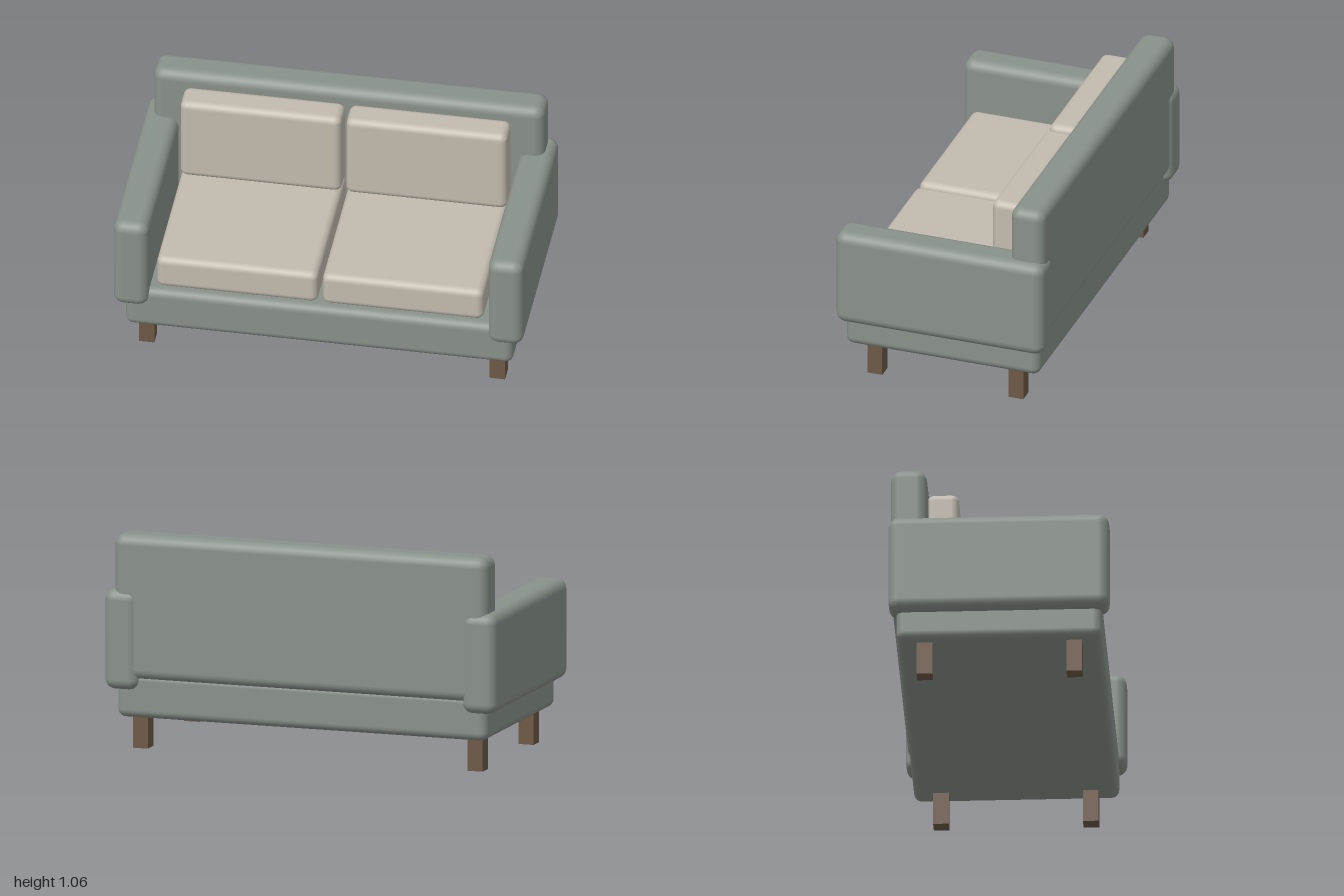
import * as THREE from 'three';
import { RoundedBoxGeometry } from 'three/addons/geometries/RoundedBoxGeometry.js';

const fabric = new THREE.MeshStandardMaterial({ color: 0x89928a });
const cushion = new THREE.MeshStandardMaterial({ color: 0xc2bbae });
const wood = new THREE.MeshStandardMaterial({ color: 0x6e5a46 });

// Softly rounded block given by its [min, max] extents on each axis
function block(name, [x0, x1], [y0, y1], [z0, z1], radius, material) {
  const size = [x1 - x0, y1 - y0, z1 - z0];
  const geometry = radius
    ? new RoundedBoxGeometry(...size, 3, radius)
    : new THREE.BoxGeometry(...size);
  const mesh = new THREE.Mesh(geometry, material);
  mesh.name = name;
  mesh.position.set((x0 + x1) / 2, (y0 + y1) / 2, (z0 + z1) / 2);
  return mesh;
}

export function createModel() {
  const sofa = new THREE.Group();
  sofa.name = 'sofa';

  // Frame
  sofa.add(block('base', [-0.945, 0.945], [0.164, 0.386], [-0.494, 0.494], 0.04, fabric));
  sofa.add(block('backrest', [-0.953, 0.953], [0.355, 1.063], [-0.52, -0.347], 0.05, fabric));

  for (const [side, s] of [['left', 1], ['right', -1]]) {
    const span = (a, b) => (s > 0 ? [a, b] : [-b, -a]);

    // Armrest, seat cushion and back cushion
    sofa.add(block(side + 'Armrest', span(0.828, 1), [0.302, 0.792], [-0.531, 0.531], 0.05, fabric));
    sofa.add(block(side + 'SeatCushion', span(0.011, 0.797), [0.387, 0.561], [-0.36, 0.463], 0.035, cushion));
    sofa.add(block(side + 'BackCushion', span(0.011, 0.797), [0.556, 0.998], [-0.352, -0.2], 0.035, cushion));

    // Square legs
    for (const [end, z] of [['Front', 0.36], ['Back', -0.36]]) {
      sofa.add(block(side + end + 'Leg', span(0.817, 0.893), [0, 0.17], [z - 0.038, z + 0.038], 0, wood));
    }
  }
  return sofa;
}
